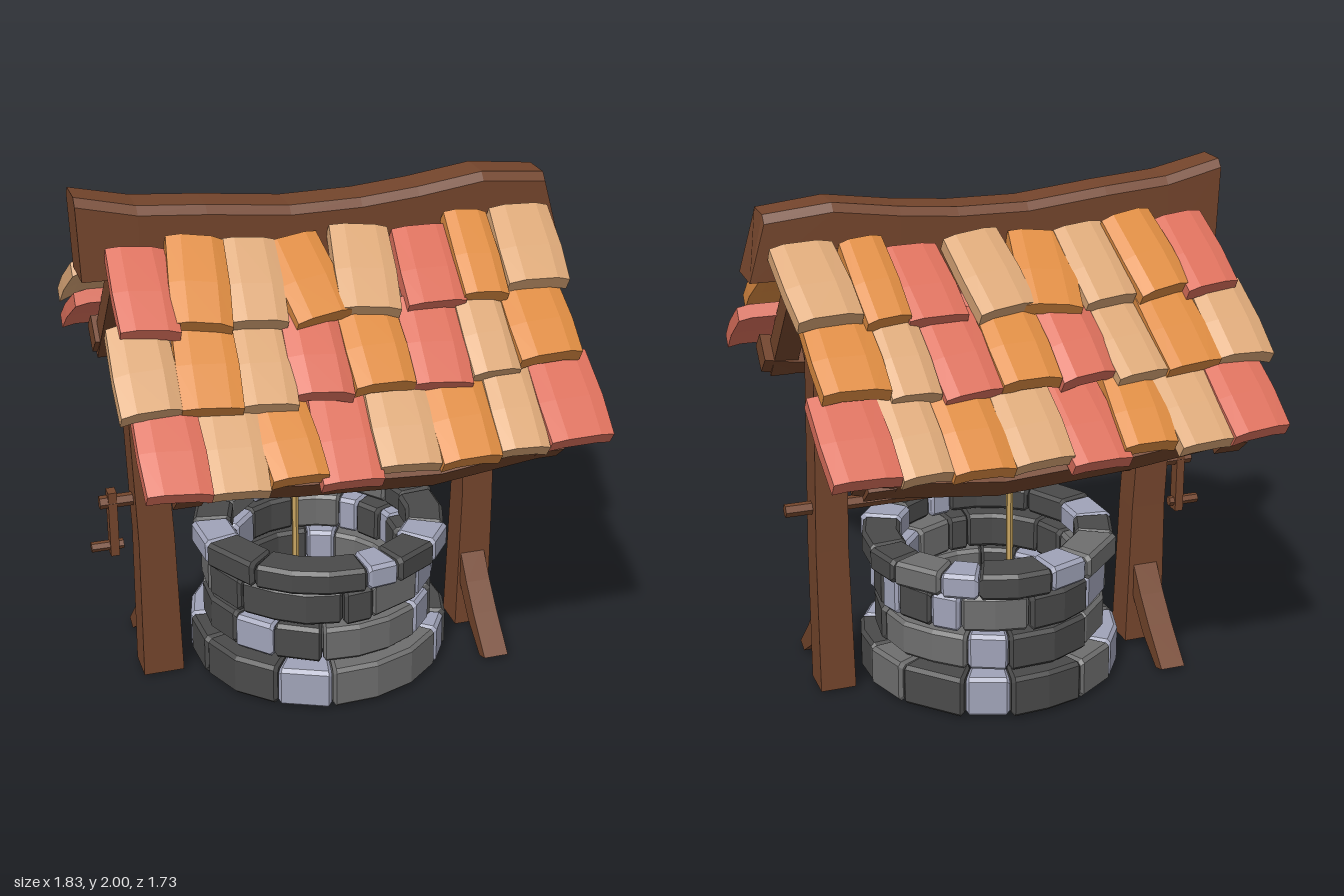
import * as THREE from 'three';

const WOOD = 0x74452c, ROPE = 0xc8a560;
const STONE = { D: 0x4a4a4a, M: 0x6e6e6e, L: 0xa0a3b8 };
const TILE = { r: 0xdc705c, o: 0xde8c42, t: 0xdca878 };

const materials = {};
const mat = (color) => (materials[color] ??= new THREE.MeshStandardMaterial({ color, flatShading: true }));

let seed = 7;
const jitter = (amount) => {
  seed = (seed * 16807) % 2147483647;
  return (seed / 2147483647 - 0.5) * 2 * amount;
};

function add(parent, name, geometry, color) {
  const mesh = new THREE.Mesh(geometry, mat(color));
  mesh.name = name;
  parent.add(mesh);
  return mesh;
}

// Closed solid through matching loops of [x, y, z] points, always turned outwards
function loft(loops) {
  const tris = [], n = loops[0].length, last = loops.length - 1;
  for (let i = 0; i < last; i++) {
    for (let j = 0; j < n; j++) {
      const k = (j + 1) % n, a = loops[i], b = loops[i + 1];
      tris.push([a[j], a[k], b[k]], [a[j], b[k], b[j]]);
    }
  }
  for (let j = 1; j < n - 1; j++) {
    tris.push([loops[0][0], loops[0][j + 1], loops[0][j]]);
    tris.push([loops[last][0], loops[last][j], loops[last][j + 1]]);
  }
  const c = new THREE.Vector3(...loops[0][0]);
  let volume = 0;
  for (const t of tris) {
    const [p, q, r] = t.map((v) => new THREE.Vector3(...v).sub(c));
    volume += p.dot(q.cross(r));
  }
  if (volume < 0) tris.forEach((t) => t.reverse());
  const g = new THREE.BufferGeometry();
  g.setAttribute('position', new THREE.Float32BufferAttribute(tris.flat(2), 3));
  g.computeVertexNormals();
  return g;
}

// Timber following [z, y] points in the plane at x
function strut(x, side, path, width, thick) {
  return loft(path.map((p, i) => {
    const a = path[Math.max(i - 1, 0)], b = path[Math.min(i + 1, path.length - 1)];
    const len = Math.hypot(b[0] - a[0], b[1] - a[1]);
    const nz = (-(b[1] - a[1]) / len) * thick / 2, ny = ((b[0] - a[0]) / len) * thick / 2;
    return [[-1, -1], [1, -1], [1, 1], [-1, 1]].map(([u, v]) =>
      [x + (u * width) / 2, Math.max(0, p[1] + v * ny), side * (p[0] + v * nz)]);
  }));
}

// One curved, chamfered stone between two angles
function stone(a0, a1, rIn, rOut, y0, y1, cx) {
  const section = (a, s, dr) => {
    const c = 0.014, i = rIn + s, o = rOut - s + dr, b = y0 + s, t = y1 - s;
    return [[i + c, b], [o - c, b], [o, b + c], [o, t - c], [o - c, t], [i + c, t], [i, t - c], [i, b + c]]
      .map(([r, y]) => [cx + r * Math.sin(a), y, r * Math.cos(a)]);
  };
  const start = a0 + 0.005, end = a1 - 0.005, bevel = 0.026;
  const steps = Math.max(1, Math.round((end - start) / 0.35));
  const loops = [section(start, 0.011, 0)];
  for (let i = 0; i <= steps; i++) {
    loops.push(section(start + bevel + ((end - start - 2 * bevel) * i) / steps, 0, jitter(0.006)));
  }
  loops.push(section(end, 0.011, 0));
  return loft(loops);
}

// Bowed roof tile: u across, v down the slope, w out of the slope
function tile(x, y, z, width, tilt, side) {
  const pitch = 0.6 + jitter(0.04), cos = Math.cos(pitch), sin = Math.sin(pitch);
  const bow = 0.014 + jitter(0.005), skew = jitter(0.02), end = 0.178 + jitter(0.014);
  const place = (u, v, w) => {
    const ur = u * Math.cos(tilt) - v * Math.sin(tilt), vr = u * Math.sin(tilt) + v * Math.cos(tilt);
    return [x + ur, y - vr * sin + w * cos, side * (z + vr * cos + w * sin)];
  };
  const across = [-0.5, -0.25, 0.28, 0.5], lift = [0, bow, bow, 0];
  return loft([[-0.18, 0.98, 0], [0.02, 1.03, 0.005], [end, 0.99, 0]].map(([v, k, rise]) => [
    ...across.map((u, i) => place(u * width * k, v + u * skew, 0.022 + lift[i] + rise)),
    ...across.map((u, i) => place(u * width * k, v + u * skew, -0.034 + lift[i] + rise)).reverse(),
  ]));
}

function buildWell(root) {
  const well = new THREE.Group();
  well.name = 'stoneWell';
  // Start angles in degrees from the front, with the shade of each stone
  const courses = [
    { y: [0.01, 0.175], r: 0.512, cx: -0.018, a: [-34, -10, 50, 66, 97, 120, 150, 170, 205, 228, 262, 285], s: 'LMLDMDLDMLDD' },
    { y: [0.186, 0.33], r: 0.463, cx: -0.018, a: [-14, 38, 56, 98, 150, 170, 215, 262, 300, 322], s: 'MLDMLDMDLD' },
    { y: [0.345, 0.49], r: 0.465, cx: -0.018, a: [-4, 11, 40, 80, 100, 112, 132, 147, 180, 215, 240, 280, 304], s: 'DMLDLDLMDLMDD' },
    { y: [0.5, 0.6], r: 0.505, cx: -0.01, a: [5, 20, 43, 62, 97, 116, 140, 157, 190, 210, 240, 262, 285, 314], s: 'LDLDDMLDLMDLDD' },
  ];
  for (const { y, r, cx, a, s } of courses) {
    a.forEach((start, i) => {
      const end = i + 1 < a.length ? a[i + 1] : a[0] + 360, rad = Math.PI / 180;
      add(well, 'stone', stone(start * rad, end * rad, r - 0.147 + jitter(0.012), r + jitter(0.006),
        y[0], y[1] + jitter(0.004), cx), STONE[s[i]]);
    });
  }
  root.add(well);
}

function buildFrame(root) {
  // Posts: [y, xMin, xMax, zBack, zFront]
  const post = (rows) => loft(rows.map(([y, a, b, c, d]) => [[a, y, c], [b, y, c], [b, y, d], [a, y, d]]));
  add(root, 'rightPost', post([[0.01, -0.75, -0.59, -0.07, 0.07], [0.6, -0.747, -0.607, -0.062, 0.068],
    [1.15, -0.765, -0.635, -0.067, 0.065], [1.72, -0.74, -0.63, -0.065, 0.065]]), WOOD);
  add(root, 'leftPost', post([[0.01, 0.56, 0.7, -0.07, 0.07], [0.6, 0.572, 0.7, -0.062, 0.068],
    [1.15, 0.565, 0.69, -0.067, 0.065], [1.72, 0.57, 0.68, -0.065, 0.065]]), WOOD);

  // Sagging ridge: [xBottom, xTop, bottom, top]
  const ridge = [[-0.91, -0.92, 1.69, 2], [-0.7, -0.7, 1.69, 1.95], [-0.45, -0.45, 1.67, 1.93], [-0.14, -0.14, 1.65, 1.897],
    [0.13, 0.13, 1.65, 1.9], [0.35, 0.35, 1.67, 1.92], [0.6, 0.6, 1.69, 1.955], [0.91, 0.85, 1.69, 1.93]];
  add(root, 'ridgeBeam', loft(ridge.map(([xb, xt, b, t], i) => {
    const w = i === 0 || i === 7 ? 0.086 : 0.092;
    return [[xb, b, -w], [xb, b, w], [xt, t - 0.03, w], [xt, t, w - 0.025], [xt, t, 0.025 - w], [xt, t - 0.03, -w]];
  })), WOOD);

  for (const side of [1, -1]) {
    for (const x of [-0.69, 0.63]) {
      add(root, 'rafter', strut(x, side, [[0.04, 1.775], [0.3, 1.575], [0.5, 1.345], [0.72, 1.093]], 0.1, 0.09), WOOD);
      add(root, 'rafterBrace', strut(x, side, [[0.02, 1.27], [0.13, 1.39], [0.28, 1.58]], 0.09, 0.08), WOOD);
    }
    // Sagging eave beam, square section turned to the roof slope
    add(root, 'eaveBeam', loft([[-0.76, 1.175, 0.68], [-0.3, 1.13, 0.695], [0.2, 1.105, 0.705], [0.6, 1.145, 0.69], [0.72, 1.17, 0.68]]
      .map(([x, y, z]) => [[0, -0.08], [0.082, 0.005], [0, 0.08], [-0.082, -0.005]]
        .map(([dz, dy]) => [x, y + dy, side * (z + dz)]))), WOOD);
  }

  // One curved foot per post, on opposite sides
  for (const [x, side] of [[0.625, 1], [-0.67, -1]]) {
    add(root, 'footBrace', strut(x, side, [[0.02, 0.34], [0.11, 0.22], [0.2, 0.12], [0.335, -0.01]], 0.1, 0.08), WOOD);
  }
}

function buildRoof(root) {
  // Three overlapping rows on each slope
  const rows = [
    { y: 1.685, z: 0.262, c: 'rototrot', x: [-0.73, -0.53, -0.33, -0.135, 0.08, 0.325, 0.505, 0.715],
      w: [0.21, 0.21, 0.2, 0.215, 0.22, 0.22, 0.165, 0.235], t: [0.04, 0.12, 0.08, -0.12, 0.12, 0.08, 0.05, 0.08],
      d: [0.012, 0.025, 0, -0.005, 0.01, -0.015, 0.02, 0.025] },
    { y: 1.485, z: 0.475, c: 'totrorto', x: [-0.78, -0.56, -0.36, -0.165, 0.05, 0.27, 0.47, 0.675],
      w: [0.215, 0.215, 0.2, 0.21, 0.22, 0.22, 0.18, 0.24], t: [0.03, 0.08, 0.08, 0.05, 0.03, 0.07, 0.04, 0.02],
      d: [0.005, 0.01, -0.015, -0.01, 0, -0.01, 0, 0.02] },
    { y: 1.27, z: 0.688, c: 'rtortotr', x: [-0.74, -0.53, -0.33, -0.125, 0.08, 0.3, 0.5, 0.71],
      w: [0.225, 0.215, 0.2, 0.22, 0.22, 0.22, 0.18, 0.24], t: [0.03, 0.06, -0.04, 0.08, 0.05, 0.04, 0.04, 0.03],
      d: [0.015, 0, 0, -0.025, 0, 0, 0.01, 0.02] },
  ];
  for (const side of [1, -1]) {
    const slope = new THREE.Group();
    slope.name = side > 0 ? 'frontTiles' : 'backTiles';
    seed = 41;
    for (const { y, z, c, x, w, t, d } of rows) {
      x.forEach((cx, i) => add(slope, 'roofTile', tile(cx, y + d[i], z, w[i], t[i], side), TILE[c[i]]));
    }
    root.add(slope);
  }
}

function buildWinch(root) {
  const winch = new THREE.Group();
  winch.name = 'winch';
  const rod = (name, x0, x1, y, r) => {
    const m = add(winch, name, new THREE.CylinderGeometry(r, r, x1 - x0, 6), WOOD);
    m.rotation.z = Math.PI / 2;
    m.position.set((x0 + x1) / 2, y, 0);
  };
  rod('axle', -0.88, 0.8, 0.765, 0.026);
  rod('crankHandle', -0.92, -0.795, 0.578, 0.02);
  add(winch, 'crankArm', new THREE.BoxGeometry(0.034, 0.27, 0.05), WOOD).position.set(-0.832, 0.675, 0);
  // Rope coils and the hanging end
  for (let i = 0; i < 5; i++) {
    const coil = add(winch, 'ropeCoil', new THREE.TorusGeometry(0.03, 0.016, 6, 12), ROPE);
    coil.rotation.y = Math.PI / 2 + 0.1;
    coil.position.set(-0.1 + i * 0.031, 0.765, 0);
  }
  add(winch, 'rope', new THREE.CylinderGeometry(0.014, 0.014, 0.62, 6), ROPE).position.set(-0.115, 0.46, 0.03);
  root.add(winch);
}

export function createModel() {
  const root = new THREE.Group();
  root.name = 'wishingWell';
  buildWell(root);
  buildFrame(root);
  buildRoof(root);
  buildWinch(root);
  return root;
}
